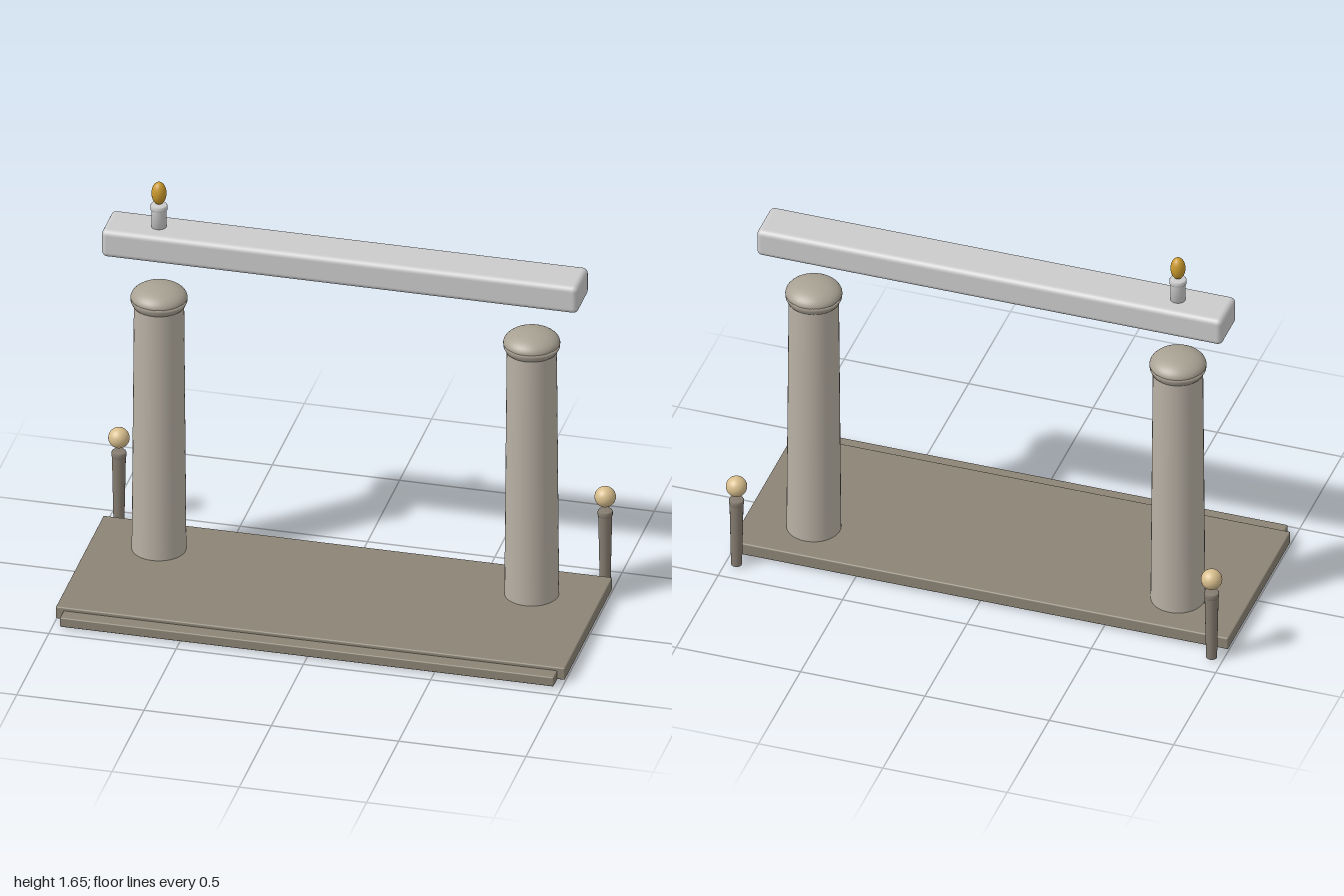
import * as THREE from 'three';
import { RoundedBoxGeometry } from 'three/addons/geometries/RoundedBoxGeometry.js';

const mat = (color) => new THREE.MeshStandardMaterial({ color });

export function createModel() {
  const group = new THREE.Group();
  const baseStone = mat(0x8c8475), pillarStone = mat(0xb8b0a4), capStone = mat(0xa8a193);
  const lintelStone = mat(0xcccccc), postStone = mat(0x857c70);
  const orbTan = mat(0xd6bd8c), flameGold = mat(0xc8982c), earth = mat(0x8a7a4c);

  const add = (name, geometry, material, x, y, z) => {
    const mesh = new THREE.Mesh(geometry, material);
    mesh.name = name;
    mesh.position.set(x, y, z);
    group.add(mesh);
    return mesh;
  };
  const lathe = (points, segments = 40) =>
    new THREE.LatheGeometry(points.map(([r, y]) => new THREE.Vector2(r, y)), segments);

  // Floor slab with a lower step along the front
  add('floorSlab', new RoundedBoxGeometry(2, 0.052, 0.745, 2, 0.006), baseStone, 0, 0.034, 0.0205);
  add('frontStep', new RoundedBoxGeometry(1.94, 0.04, 0.09, 2, 0.005), baseStone, 0, 0.026, 0.405);

  // Thin irregular patch of earth under the slab
  const patch = new THREE.Shape([
    [0.435, -0.147], [-0.05, -0.17], [-0.347, 0.09], [-0.376, 0.257], [0.45, 0.23],
  ].map(([x, z]) => new THREE.Vector2(x, z)));
  const patchGeo = new THREE.ExtrudeGeometry(patch, { depth: 0.01, bevelEnabled: false });
  patchGeo.rotateX(Math.PI / 2);
  add('earthPatch', patchGeo, earth, 0, 0.0105, 0);

  // Pillars with a flared collar and a domed cap
  const shaft = new THREE.CylinderGeometry(0.096, 0.105, 1.115, 40);
  const collar = lathe([[0, 1.112], [0.09, 1.112], [0.1, 1.118], [0.108, 1.135], [0.109, 1.15], [0, 1.15]]);
  const dome = new THREE.SphereGeometry(0.109, 40, 12, 0, Math.PI * 2, 0, Math.PI / 2);
  dome.scale(1, 0.48, 1);
  // Small posts with floating orbs at the back corners
  const post = new THREE.CylinderGeometry(0.027, 0.021, 0.295, 20);
  const postRim = lathe([[0.026, 0.285], [0.029, 0.292], [0.029, 0.306], [0.026, 0.312], [0, 0.312]], 20);
  const orb = new THREE.SphereGeometry(0.041, 24, 16);

  for (const [side, name] of [[1, 'left'], [-1, 'right']]) {
    const px = side * 0.732, pz = -0.155;
    add(name + 'PillarShaft', shaft, pillarStone, px, 0.565, pz);
    add(name + 'PillarCollar', collar, capStone, px, 0, pz);
    add(name + 'PillarDome', dome, capStone, px, 1.149, pz);
    const ox = side * 0.955, oz = -0.415;
    add(name + 'Post', post, postStone, ox, 0.1555, oz);
    add(name + 'PostRim', postRim, postStone, ox, 0, oz);
    add(name + 'Orb', orb, orbTan, ox, 0.37, oz);
  }

  // Floating lintel
  add('lintel', new RoundedBoxGeometry(1.872, 0.116, 0.182, 3, 0.022), lintelStone, -0.003, 1.398, -0.159);

  // Candle and flame on the lintel
  const candle = lathe([[0, 0], [0.029, 0], [0.029, 0.075], [0.033, 0.08], [0.033, 0.094], [0.029, 0.1], [0, 0.1]], 24);
  add('candle', candle, lintelStone, -0.733, 1.452, -0.158);
  const flame = new THREE.SphereGeometry(0.029, 20, 16);
  flame.scale(1, 1.62, 1);
  add('flame', flame, flameGold, -0.733, 1.6, -0.158);

  return group;
}
